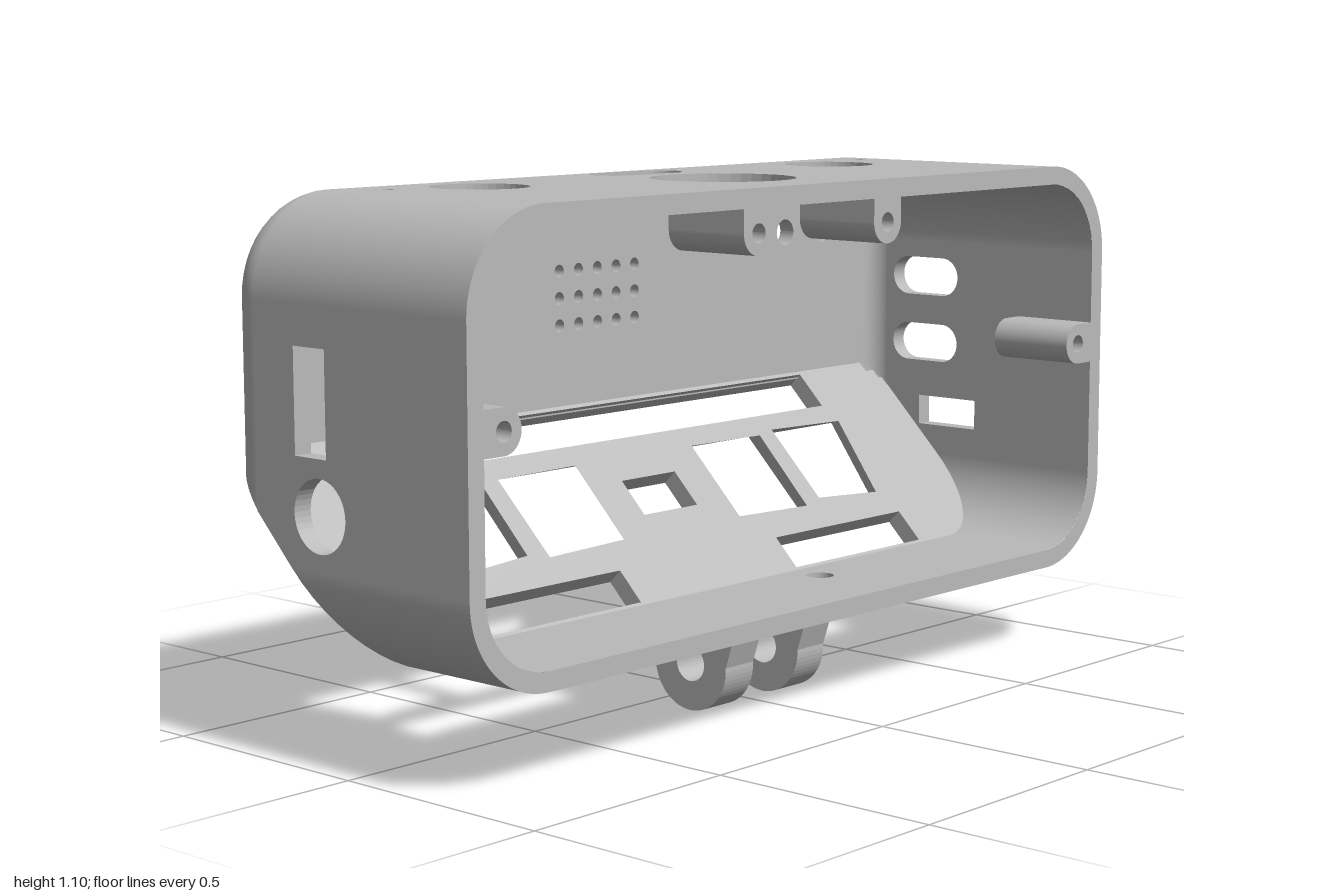
import * as THREE from 'three';

const T = 0.04, FRONT = 0.34, BACK = -0.34, TOP = 1.1, BASE = 0.191;
const R = 0.2, FILLET = 0.09, BEND = BACK + FILLET, SLOPE = 0.24; // sloped wall: y + z = SLOPE
const CX = 1 - R, LOW = BASE + R, HIGH = TOP - R;
const slopeAt = (t) => SLOPE + t * Math.SQRT2;

const grey = new THREE.MeshStandardMaterial({ color: 0xbababa });
grey.name = 'greyPlastic';

// ---- shape helpers ----
const circle = (x, y, r) => new THREE.Path().absarc(x, y, r, 0, Math.PI * 2, true);
const poly = (pts, Type = THREE.Path) => new Type(pts.map((p) => new THREE.Vector2(...p)));
const rect = (x0, y0, x1, y1, Type) => poly([[x0, y0], [x1, y0], [x1, y1], [x0, y1]], Type);
function slot(x0, y0, x1, y1) {
  const r = (y1 - y0) / 2, y = (y0 + y1) / 2;
  return new THREE.Path()
    .absarc(x1 - r, y, r, -Math.PI / 2, Math.PI / 2, false)
    .absarc(x0 + r, y, r, Math.PI / 2, Math.PI * 1.5, false);
}
function roundRect(t, Type) {
  const r = R - t, h = Math.PI / 2;
  return new Type()
    .absarc(CX, LOW, r, -h, 0, false).absarc(CX, HIGH, r, 0, h, false)
    .absarc(-CX, HIGH, r, h, 2 * h, false).absarc(-CX, LOW, r, 2 * h, 3 * h, false);
}
function extrude(shape, holes = [], depth = T) {
  shape.holes.push(...holes);
  return new THREE.ExtrudeGeometry(shape, { depth, bevelEnabled: false, curveSegments: 20 });
}

// ---- rounded corners and back fillet, trimmed by the sloped wall; t is the inset ----
function roundedSkin(t, inside) {
  const cols = [], rows = [[FRONT, 0, 0]];
  const f = FILLET - t, K = slopeAt(t), N = 12, M = 30;
  for (let k = 0; k <= 10; k++) {
    const a = (k / 10) * Math.PI / 2;
    rows.push([BEND - f * Math.sin(a), f * (1 - Math.cos(a)), a]);
  }
  const corner = (cx, cy, start) => {
    for (let i = 0; i <= N; i++) {
      const a = start + (i / N) * Math.PI / 2, nx = Math.cos(a), ny = Math.sin(a);
      cols.push({ x: cx + (R - t) * nx, y: cy + (R - t) * ny, nx, ny, flat: i === N });
    }
  };
  const side = (s, y0, y1) => {
    for (let i = 1; i < M; i++) {
      cols.push({ x: s * (1 - t), y: y0 + (y1 - y0) * i / M, nx: s, ny: 0, flat: true });
    }
  };
  corner(CX, LOW, -Math.PI / 2);
  side(1, LOW, HIGH);
  corner(CX, HIGH, 0);
  corner(-CX, HIGH, Math.PI / 2);
  side(-1, HIGH, LOW);
  corner(-CX, LOW, Math.PI);

  const pos = [], nor = [], cut = [], idx = [], n = rows.length, sign = inside ? -1 : 1;
  for (const c of cols) {
    for (const [z, d, a] of rows) {
      const y = c.y - c.ny * d, limit = K - y;
      pos.push(c.x - c.nx * d, y, Math.max(z, limit));
      cut.push(z <= limit);
      nor.push(sign * c.nx * Math.cos(a), sign * c.ny * Math.cos(a), -sign * Math.sin(a));
    }
  }
  for (let i = 0; i < cols.length - 1; i++) {
    for (let j = cols[i].flat ? 1 : 0; j < n - 1; j++) {
      const a = i * n + j, b = a + n, c = b + 1, d = a + 1;
      if (cut[a] && cut[b] && cut[c] && cut[d]) continue;
      idx.push(...(inside ? [a, b, d, b, c, d] : [a, d, b, b, d, c]));
    }
  }
  const g = new THREE.BufferGeometry();
  g.setAttribute('position', new THREE.Float32BufferAttribute(pos, 3));
  g.setAttribute('normal', new THREE.Float32BufferAttribute(nor, 3));
  g.setIndex(idx);
  return g;
}

// ---- one face of the sloped wall, drawn in x,y and sheared onto the slope ----
function slopeFace(t, holes, outside) {
  const f = FILLET - t, r = R - t, half = [];
  for (let i = 0; i <= 12; i++) {
    const a = (i / 12) * Math.PI / 2;
    half.push([CX + r * Math.sin(a), LOW - r * Math.cos(a)]);
  }
  for (let i = 0; i <= 10; i++) {
    const a = (i / 10) * Math.PI / 2;
    half.push([1 - t - f * (1 - Math.cos(a)), slopeAt(t) - BEND + f * Math.sin(a)]);
  }
  const shape = poly([...half, ...half.map(([x, y]) => [-x, y]).reverse()], THREE.Shape);
  shape.holes.push(...holes.map((h) => poly(h)));
  const g = new THREE.ShapeGeometry(shape), p = g.attributes.position;
  for (let i = 0; i < p.count; i++) p.setZ(i, slopeAt(t) - p.getY(i));
  if (outside) g.index.array.reverse();
  g.computeVertexNormals();
  return g;
}

// Walls joining each opening's inner edge to its outer edge
function openingWalls(openings) {
  const pos = [];
  for (const [inner, outer] of openings) {
    inner.forEach((_, i) => {
      const j = (i + 1) % inner.length;
      const on = ([x, y], t) => [x, y, slopeAt(t) - y];
      const a = on(inner[i], T), b = on(inner[j], T), A = on(outer[i], 0), B = on(outer[j], 0);
      pos.push(...a, ...b, ...A, ...b, ...B, ...A);
    });
  }
  const g = new THREE.BufferGeometry();
  g.setAttribute('position', new THREE.Float32BufferAttribute(pos, 3));
  g.computeVertexNormals();
  return g;
}

export function createModel() {
  const model = new THREE.Group();
  model.name = 'sensorCase';
  const add = (name, geometry, x = 0, y = 0, z = 0) => {
    const m = new THREE.Mesh(geometry, grey);
    m.name = name;
    m.position.set(x, y, z);
    model.add(m);
  };

  // Shell skins and front rim
  add('outerCorners', roundedSkin(0, false));
  add('innerCorners', roundedSkin(T, true));
  const rim = roundRect(0, THREE.Shape);
  rim.holes.push(roundRect(T, THREE.Path));
  add('frontRim', new THREE.ShapeGeometry(rim, 16), 0, 0, FRONT);

  // Top panel with round openings (shape v = -z)
  const topHoles = [circle(0, -0.065, 0.153), slot(-0.12, 0.13, 0.12, 0.235)];
  for (const s of [-1, 1]) topHoles.push(circle(s * 0.545, 0.097, 0.1), circle(s * 0.73, 0.163, 0.013));
  add('topPanel', extrude(rect(-CX, -FRONT, CX, -BEND, THREE.Shape), topHoles).rotateX(-Math.PI / 2), 0, TOP - T);

  // Bottom panel with one screw hole
  add('bottomPanel', extrude(rect(-CX, -FRONT, CX, BASE - SLOPE, THREE.Shape),
    [circle(0.235, -0.14, 0.03)]).rotateX(-Math.PI / 2), 0, BASE);

  // Side panels (shape u = z)
  const sidePanel = (holes) => extrude(poly([[FRONT, LOW], [FRONT, HIGH], [BEND, HIGH],
    [BEND, SLOPE - BEND], [SLOPE - LOW, LOW]], THREE.Shape), holes).rotateY(-Math.PI / 2);
  add('leftPanel', sidePanel([slot(-0.23, 0.77, -0.04, 0.86), slot(-0.23, 0.612, -0.04, 0.701),
    rect(-0.15, 0.458, 0.015, 0.527)]), 1);
  add('rightPanel', sidePanel([rect(-0.135, 0.61, -0.046, 0.82), circle(-0.067, 0.5, 0.073)]), T - 1);

  // Back panel with port holes and speaker grille
  const r = R - FILLET, e = CX + r;
  const back = new THREE.Shape().moveTo(-e, SLOPE - BACK).lineTo(e, SLOPE - BACK)
    .absarc(CX, HIGH, r, 0, Math.PI / 2, false).absarc(-CX, HIGH, r, Math.PI / 2, Math.PI, false);
  const backHoles = [circle(-0.31, 0.963, 0.013)];
  for (let i = 0; i < 4; i++) backHoles.push(circle(0.36 + i * 0.137, 0.93, 0.03));
  for (let i = -2; i <= 2; i++) {
    for (let j = -1; j <= 1; j++) backHoles.push(circle(i * 0.059, 0.831 + j * 0.059, 0.014));
  }
  add('backPanel', extrude(back, backHoles), 0, 0, BACK);

  // Sloped panel: straight slots and flared windows, as [inner edge, outer edge]
  const straight = (x0, y0, x1, y1) => {
    const c = [[x0, y0], [x1, y0], [x1, y1], [x0, y1]];
    return [c, c.map(([x, y]) => [x, y - T * Math.SQRT1_2])];
  };
  const mirror = (o) => o.map((edge) => edge.map(([x, y]) => [-x, y]).reverse());
  const paired = [
    straight(0.25, 0.236, 0.69, 0.295),
    [[[0.185, 0.345], [0.41, 0.34], [0.415, 0.485], [0.185, 0.487]],
      [[0.13, 0.295], [0.43, 0.295], [0.43, 0.475], [0.13, 0.475]]],
    [[[0.465, 0.35], [0.66, 0.34], [0.702, 0.487], [0.465, 0.492]],
      [[0.45, 0.295], [0.68, 0.295], [0.73, 0.475], [0.45, 0.475]]],
  ];
  const openings = [straight(-0.683, 0.522, 0.683, 0.59), straight(-0.084, 0.38, 0.084, 0.446),
    ...paired, ...paired.map(mirror)];
  add('slopedPanelInside', slopeFace(T, openings.map((o) => o[0]), false));
  add('slopedPanelOutside', slopeFace(0, openings.map((o) => o[1]), true));
  add('slopedPanelOpenings', openingWalls(openings));

  // Screw posts with blind holes, joined to the walls
  const postShape = () => new THREE.Shape().moveTo(-0.045, 0.06).lineTo(-0.045, 0)
    .absarc(0, 0, 0.045, Math.PI, Math.PI * 2, false).lineTo(0.045, 0.06);
  for (const [x, y, turn] of [[-0.205, 1.01, 0], [0.205, 1.01, 0],
    [-0.91, 0.693, Math.PI / 2], [0.91, 0.693, -Math.PI / 2]]) {
    add('screwPost', extrude(postShape(), [circle(0, 0, 0.02)], 0.12).rotateZ(turn), x, y, FRONT - 0.12);
    add('screwPostBase', extrude(postShape(), [], 0.08).rotateZ(turn), x, y, FRONT - 0.2);
  }

  // Mounting lugs under the case
  for (const x of [0.157, -0.073]) {
    const lug = new THREE.Shape().moveTo(0.048, BASE + 0.01).lineTo(0.048, 0.169)
      .absarc(0.116, 0.098, 0.098, Math.PI * 0.745, Math.PI * 2.02, false).lineTo(0.246, BASE + 0.01);
    add('mountingLug', extrude(lug, [circle(0.116, 0.1, 0.038)], 0.086).rotateY(-Math.PI / 2), x);
  }
  return model;
}
